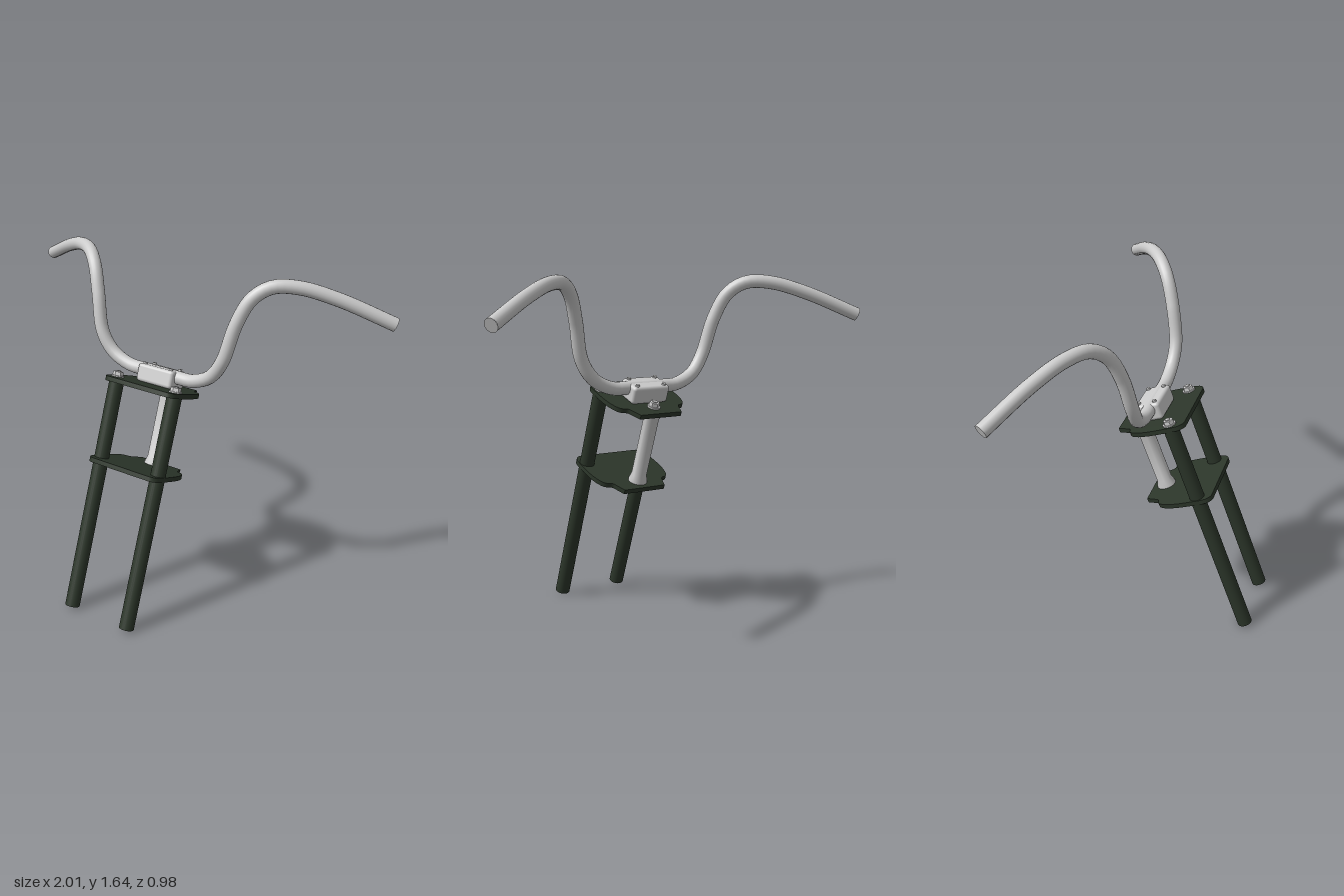
import * as THREE from 'three';
import { RoundedBoxGeometry } from 'three/addons/geometries/RoundedBoxGeometry.js';
import { toCreasedNormals } from 'three/addons/utils/BufferGeometryUtils.js';

const grey = new THREE.MeshStandardMaterial({ color: 0xcccccc });
const green = new THREE.MeshStandardMaterial({ color: 0x2c362a });

function add(parent, name, geometry, material, x = 0, y = 0, z = 0) {
  const mesh = new THREE.Mesh(geometry, material);
  mesh.name = name;
  mesh.position.set(x, y, z);
  parent.add(mesh);
  return mesh;
}

// Yoke plate: broad rounded front, necking down to a tab at the rear
function plateGeometry() {
  const s = new THREE.Shape();
  s.moveTo(-0.165, 0.075);
  s.lineTo(0.165, 0.075);
  s.quadraticCurveTo(0.2, 0.068, 0.204, 0.02);
  s.lineTo(0.206, -0.07);
  s.bezierCurveTo(0.206, -0.13, 0.195, -0.195, 0.165, -0.205);
  s.quadraticCurveTo(0.14, -0.205, 0.135, -0.225);
  s.lineTo(0.115, -0.28);
  s.lineTo(-0.115, -0.28);
  s.lineTo(-0.135, -0.225);
  s.quadraticCurveTo(-0.14, -0.205, -0.165, -0.205);
  s.bezierCurveTo(-0.195, -0.195, -0.206, -0.13, -0.206, -0.07);
  s.lineTo(-0.204, 0.02);
  s.quadraticCurveTo(-0.2, 0.068, -0.165, 0.075);
  const g = new THREE.ExtrudeGeometry(s, { depth: 0.022, bevelEnabled: false, curveSegments: 6 });
  g.translate(0, 0, -0.011);
  g.rotateX(Math.PI / 2);
  return toCreasedNormals(g, 0.6);
}

// Washer, hex head and small stud
function nut(parent, name, x, y, z) {
  const g = new THREE.Group();
  g.name = name;
  g.position.set(x, y, z);
  add(g, 'washer', new THREE.CylinderGeometry(0.031, 0.031, 0.008, 20), grey, 0, 0.004);
  add(g, 'hexHead', toCreasedNormals(new THREE.CylinderGeometry(0.024, 0.026, 0.018, 6), 0.5), grey, 0, 0.017);
  add(g, 'stud', new THREE.CylinderGeometry(0.012, 0.012, 0.006, 12), grey, 0, 0.028);
  parent.add(g);
}

export function createModel() {
  const model = new THREE.Group();
  model.name = 'handlebarAndFork';

  // Raked fork assembly, with its own y along the legs
  const fork = new THREE.Group();
  fork.name = 'fork';
  fork.rotation.x = -0.349;
  fork.position.set(0, 0.012, 0.452);
  model.add(fork);

  for (const side of [1, -1]) {
    const label = side > 0 ? 'left' : 'right';
    add(fork, label + 'ForkLeg', new THREE.CylinderGeometry(0.036, 0.036, 1.15, 24), green, side * 0.166, 0.575, 0);
    nut(fork, label + 'LegNut', side * 0.166, 1.154, 0);
  }
  const plate = plateGeometry();
  add(fork, 'upperYokePlate', plate, green, 0, 1.145, 0);
  add(fork, 'lowerYokePlate', plate, green, 0, 0.747, 0);

  // Steering stem with slightly flared ends
  const profile = [[0, 0.75], [0.046, 0.75], [0.046, 0.765], [0.037, 0.795], [0.037, 1.1],
    [0.043, 1.12], [0.043, 1.137], [0, 1.137]].map(([r, y]) => new THREE.Vector2(r, y));
  add(fork, 'steeringStem', toCreasedNormals(new THREE.LatheGeometry(profile, 24), 0.6), grey, 0, 0, -0.211);
  nut(fork, 'stemNut', 0, 1.156, -0.212);

  // Handlebar clamp and its four bolts
  add(fork, 'clamp', new RoundedBoxGeometry(0.2, 0.086, 0.125, 3, 0.016), grey, 0, 1.198, -0.114);
  for (const x of [-0.074, 0.074]) {
    for (const z of [-0.154, -0.074]) {
      add(fork, 'clampBolt', new THREE.CylinderGeometry(0.01, 0.01, 0.012, 10), grey, x, 1.243, z);
    }
  }

  // Handlebar: one half of the path, mirrored
  const half = [[0.09, 1.115, -0.063], [0.18, 1.118, -0.063], [0.278, 1.163, -0.061], [0.342, 1.254, -0.06],
    [0.388, 1.43, -0.09], [0.438, 1.548, -0.132], [0.508, 1.602, -0.185], [0.61, 1.602, -0.25],
    [0.76, 1.553, -0.338], [0.985, 1.447, -0.462]];
  const points = [
    ...half.slice().reverse().map(([x, y, z]) => new THREE.Vector3(-x, y, z)),
    ...half.map((p) => new THREE.Vector3(...p)),
  ];
  const path = new THREE.CatmullRomCurve3(points, false, 'centripetal');
  add(model, 'handlebar', new THREE.TubeGeometry(path, 96, 0.032, 18), grey);

  // Closed bar ends
  for (const t of [0, 1]) {
    const end = path.getPointAt(t);
    const out = path.getTangentAt(t).multiplyScalar(t ? 1 : -1);
    const cap = add(model, t ? 'leftBarEnd' : 'rightBarEnd', new THREE.CircleGeometry(0.032, 18), grey, end.x, end.y, end.z);
    cap.quaternion.setFromUnitVectors(new THREE.Vector3(0, 0, 1), out);
  }
  return model;
}
